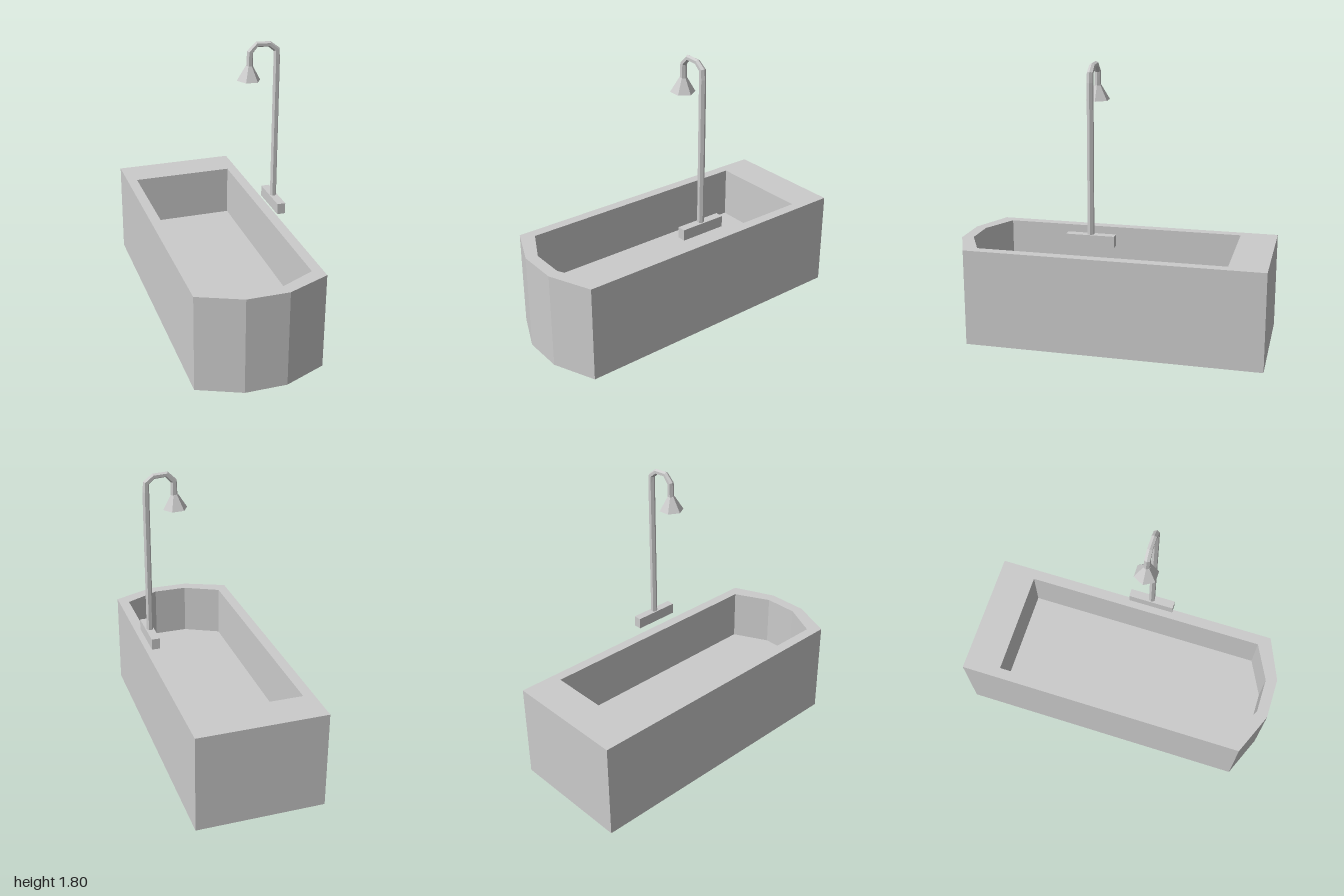
import * as THREE from 'three';

const material = new THREE.MeshStandardMaterial({ color: 0xcccccc, flatShading: true });

function addMesh(parent, name, geometry) {
  const mesh = new THREE.Mesh(geometry, material);
  mesh.name = name;
  parent.add(mesh);
  return mesh;
}

// Faceted skin through closed rings of equal point count
function loft(rings) {
  const pos = [];
  for (let i = 0; i + 1 < rings.length; i++) {
    const p = rings[i], q = rings[i + 1], n = p.length;
    for (let j = 0; j < n; j++) {
      const k = (j + 1) % n;
      for (const v of [p[j], p[k], q[k], p[j], q[k], q[j]]) pos.push(...v);
    }
  }
  const g = new THREE.BufferGeometry();
  g.setAttribute('position', new THREE.Float32BufferAttribute(pos, 3));
  g.computeVertexNormals();
  return g;
}

// Tub outline as [x, z]: square back, chamfered front
const outline = (w, back, shoulder, noseW, front) => [
  [-w, shoulder], [-noseW, front], [noseW, front], [w, shoulder], [w, back], [-w, back],
];
const atHeight = (loop, y) => loop.map(([x, z]) => [x, y, z]);
const toPoints = (loop) => loop.map(([x, z]) => new THREE.Vector2(x, -z));

// Level face looking up, with an optional hole
function flat(loop, y, hole) {
  const shape = new THREE.Shape(toPoints(loop));
  if (hole) shape.holes.push(new THREE.Path(toPoints(hole)));
  return new THREE.ShapeGeometry(shape).rotateX(-Math.PI / 2).translate(0, y, 0);
}

function createTub() {
  const tub = new THREE.Group();
  tub.name = 'tub';
  const top = 0.625, floor = 0.285;
  const outer = outline(0.403, -1, 0.885, 0.132, 1);
  const inner = outline(0.336, -0.763, 0.815, 0.11, 0.928);
  addMesh(tub, 'outerWall', loft([atHeight(outer, 0), atHeight(outer, top)]));
  addMesh(tub, 'innerWall', loft([atHeight(inner, top), atHeight(inner, floor)]));
  addMesh(tub, 'rim', flat(outer, top, inner));
  addMesh(tub, 'basinFloor', flat(inner, floor));
  // The outline is symmetric, so half a turn about z makes it face down
  addMesh(tub, 'underside', flat(outer, 0).rotateZ(Math.PI));
  return tub;
}

// Six-sided pipe along [x, y, radius] stations in the plane z
function pipe(stations, z) {
  const pts = stations.map(([x, y]) => new THREE.Vector2(x, y));
  const rings = stations.map(([x, y, r], i) => {
    const t = new THREE.Vector2();
    if (i > 0) t.add(pts[i].clone().sub(pts[i - 1]).normalize());
    if (i < pts.length - 1) t.add(pts[i + 1].clone().sub(pts[i]).normalize());
    t.normalize();
    return Array.from({ length: 6 }, (_, j) => {
      const c = r * Math.cos(j * Math.PI / 3), s = r * Math.sin(j * Math.PI / 3);
      return [x + t.y * c, y - t.x * c, z - s];
    });
  });
  return loft(rings);
}

function createShower() {
  const shower = new THREE.Group();
  shower.name = 'shower';
  const z = 0.063;
  addMesh(shower, 'tapBar', new THREE.BoxGeometry(0.052, 0.07, 0.298)).position.set(0.375, 0.745, z);

  // Riser and gooseneck
  addMesh(shower, 'pipe', pipe([
    [0.374, 0.77, 0.021], [0.374, 1.69, 0.021], [0.371, 1.746, 0.02],
    [0.325, 1.782, 0.018], [0.245, 1.787, 0.018], [0.201, 1.742, 0.02], [0.2, 1.65, 0.021],
  ], z));

  // Flared hexagonal head, slightly tilted
  const head = new THREE.CylinderGeometry(0.022, 0.075, 0.09, 6).rotateY(Math.PI / 6);
  const mesh = addMesh(shower, 'showerHead', head);
  mesh.position.set(0.196, 1.613, z);
  mesh.rotation.z = -0.035;
  return shower;
}

export function createModel() {
  const model = new THREE.Group();
  model.name = 'bathtubWithShower';
  model.add(createTub(), createShower());
  return model;
}
